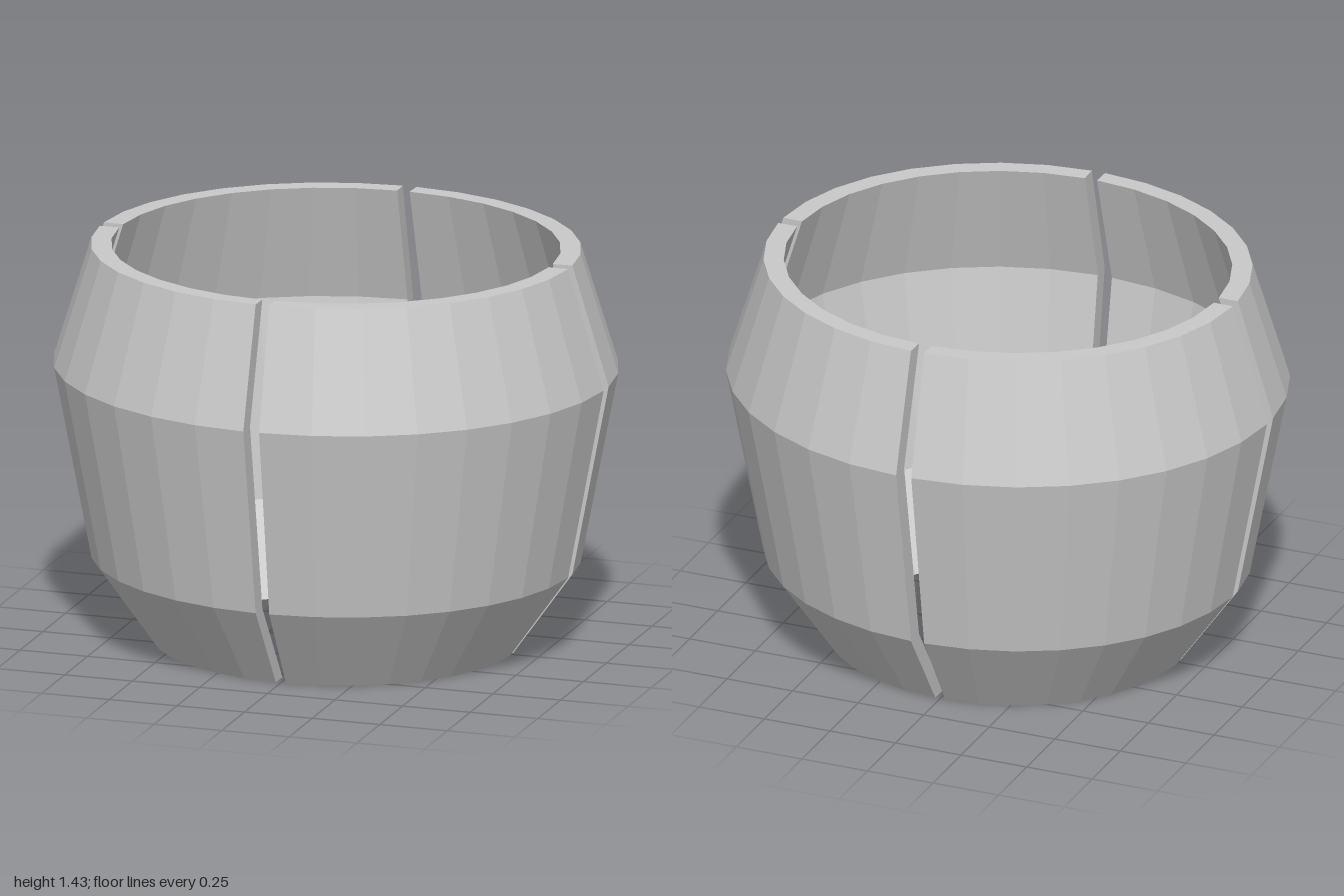
import * as THREE from 'three';
import { mergeGeometries } from 'three/addons/utils/BufferGeometryUtils.js';

const WALL = 0.072;      // wall thickness
const DEPTH = 0.928;     // the ring is slightly oval
const GAP = 0.029;       // half of the angular gap between the pieces
const FACETS = 8;        // flat facets per quarter

// Closed wall section: outer face upward, inner face back down
function wallSection() {
  const outer = [[0.65, 0], [0.867, 0.305], [1, 1], [0.867, 1.43]];
  const inner = outer.map(([r, y]) => [r - WALL, y]).reverse();
  return [...outer, ...inner].map(([r, y]) => new THREE.Vector2(r, y));
}

// Flat cut face of a quarter at one angle
function endFace(section, angle, flip) {
  const face = new THREE.ShapeGeometry(new THREE.Shape(section));
  face.rotateY(angle - Math.PI / 2);
  if (flip) face.index.array.reverse();
  return face.toNonIndexed();
}

function quarterGeometry(quarter) {
  const section = wallSection();
  const start = quarter * Math.PI / 2 + GAP;
  const sweep = Math.PI / 2 - 2 * GAP;
  const shell = new THREE.LatheGeometry([...section, section[0]], FACETS, start, sweep);
  const geometry = mergeGeometries([
    shell.toNonIndexed(),
    endFace(section, start, false),
    endFace(section, start + sweep, true),
  ]);
  geometry.scale(1, 1, DEPTH);
  geometry.computeVertexNormals(); // unshared corners give flat facets
  return geometry;
}

export function createModel() {
  const model = new THREE.Group();
  model.name = 'splitRing';
  const grey = new THREE.MeshStandardMaterial({ color: 0xc8c8c8 });
  grey.name = 'light grey';

  // Four separate curved wall pieces
  const names = ['frontLeftWall', 'backLeftWall', 'backRightWall', 'frontRightWall'];
  names.forEach((name, i) => {
    const wall = new THREE.Mesh(quarterGeometry(i), grey);
    wall.name = name;
    model.add(wall);
  });
  return model;
}
